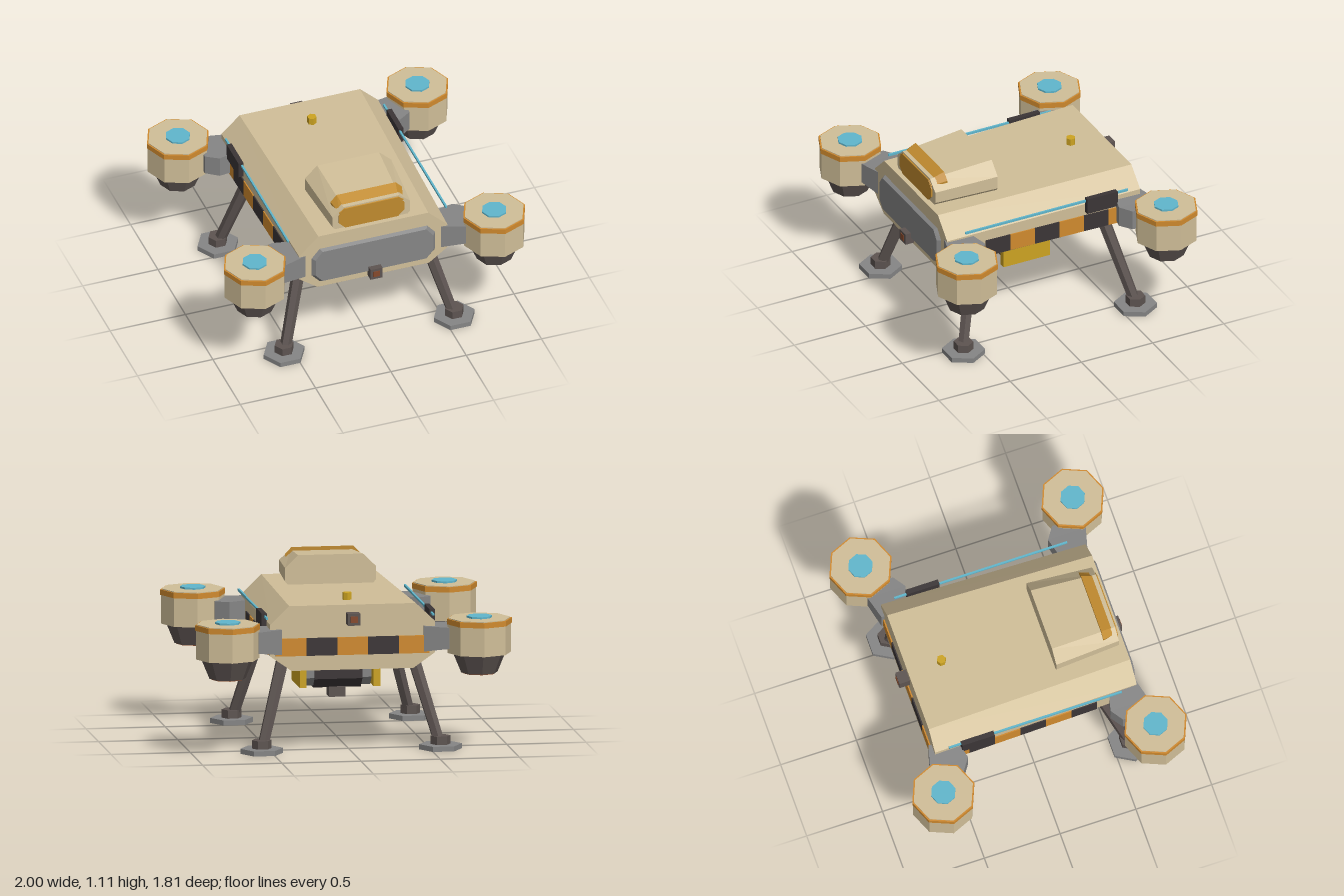
import * as THREE from 'three';

const paint = (name, color) => {
  const m = new THREE.MeshStandardMaterial({ color, flatShading: true });
  m.name = name;
  return m;
};

// Skin a list of [z, [[x, y], ...]] sections (back to front, corners anticlockwise) and cap both ends
function loft(sections) {
  const pos = [];
  const tri = (...pts) => pts.forEach((p) => pos.push(...p));
  const rings = sections.map(([z, pts]) => pts.map(([x, y]) => [x, y, z]));
  const n = rings[0].length;
  for (let s = 0; s < rings.length - 1; s++) {
    for (let i = 0; i < n; i++) {
      const j = (i + 1) % n, a = rings[s], b = rings[s + 1];
      tri(a[i], a[j], b[j]);
      tri(a[i], b[j], b[i]);
    }
  }
  const back = rings[0], front = rings[rings.length - 1];
  for (let i = 1; i < n - 1; i++) {
    tri(front[0], front[i], front[i + 1]);
    tri(back[0], back[i + 1], back[i]);
  }
  const g = new THREE.BufferGeometry();
  g.setAttribute('position', new THREE.Float32BufferAttribute(pos, 3));
  g.computeVertexNormals();
  return g;
}

// Symmetric eight-sided cross-section
const oct = (bottom, mid, top, y0, y1, y2, y3) => [
  [-bottom, y0], [bottom, y0], [mid, y1], [mid, y2],
  [top, y3], [-top, y3], [-mid, y2], [-mid, y1],
];
const rect = (w, y0, y1) => [[-w, y0], [w, y0], [w, y1], [-w, y1]];

export function createModel() {
  const model = new THREE.Group();
  model.name = 'hoverLander';

  const tan = paint('tanHull', 0xd0be98);
  const grey = paint('greyMetal', 0x858585);
  const dark = paint('darkMetal', 0x5d5451);
  const black = paint('blackPanel', 0x3b3536);
  const orange = paint('hazardOrange', 0xd08a2e);
  const gold = paint('goldFoil', 0xcca322);
  const amber = paint('amberGlass', 0xc08a2e);
  const cyan = paint('cyanGlow', 0x60b6cc);
  const copper = paint('copperLens', 0x86492c);

  const add = (name, geo, mat, x = 0, y = 0, z = 0, parent = model) => {
    const m = new THREE.Mesh(geo, mat);
    m.name = name;
    m.position.set(x, y, z);
    parent.add(m);
    return m;
  };
  const box = (w, h, d) => new THREE.BoxGeometry(w, h, d);
  const cyl = (top, bottom, h, sides) => new THREE.CylinderGeometry(top, bottom, h, sides);

  // Hull, slightly wider and taller at the back
  add('hull', loft([
    [-0.66, oct(0.385, 0.52, 0.40, 0.525, 0.62, 0.82, 0.935)],
    [0.68, oct(0.37, 0.492, 0.365, 0.53, 0.62, 0.797, 0.92)],
  ]), tan);
  const hullHalf = (z) => 0.492 + (0.68 - z) * 0.0209;

  // Bevelled nose plate
  add('nosePlate', loft([
    [0.675, oct(0.36, 0.415, 0.36, 0.57, 0.63, 0.76, 0.825)],
    [0.702, oct(0.345, 0.39, 0.345, 0.585, 0.637, 0.753, 0.81)],
  ]), grey);

  // Cabin, windscreen and brow
  add('cabin', loft([
    [0.22, oct(0.25, 0.287, 0.205, 0.90, 0.945, 1.03, 1.11)],
    [0.643, oct(0.225, 0.258, 0.185, 0.90, 0.94, 1.015, 1.077)],
  ]), tan);
  add('windscreen', loft([
    [0.642, oct(0.175, 0.217, 0.175, 0.922, 0.965, 1.02, 1.066)],
    [0.651, oct(0.175, 0.217, 0.175, 0.922, 0.965, 1.02, 1.066)],
  ]), amber);
  const brow = (w, t, y0, y1, y2) => [[-w, y0], [w, y0], [w, y1], [t, y2], [-t, y2], [-w, y1]];
  add('windscreenBrow', loft([
    [0.548, brow(0.237, 0.195, 1.05, 1.065, 1.108)],
    [0.648, brow(0.212, 0.178, 1.035, 1.04, 1.066)],
  ]), amber);

  // Roof beacon
  add('beacon', cyl(0.03, 0.03, 0.05, 6), gold, 0, 0.953, -0.44);

  // Sensors on the nose and the tail
  for (const [name, y, z, dir] of [['noseSensor', 0.58, 0.705, 1], ['tailSensor', 0.85, -0.695, -1]]) {
    add(name, box(0.08, 0.075, 0.07), dark, 0, y, z);
    add(name + 'Lens', box(0.045, 0.04, 0.006), copper, 0, y, z + dir * 0.036);
  }

  // Hazard stripes along the tail
  for (let i = 0; i < 5; i++) {
    add('tailStripe', box(0.194, 0.112, 0.009), i % 2 ? black : orange, (i - 2) * 0.194, 0.675, -0.664);
  }

  for (const side of [-1, 1]) {
    // Hazard stripes along each side, following the hull taper
    for (let i = 0; i < 6; i++) {
      const z = 0.33 - i * 0.17;
      const stripe = add('sideStripe', box(0.009, 0.112, 0.17), i % 2 ? orange : black,
        side * (hullHalf(z) + 0.003), 0.677, z);
      stripe.rotation.y = -side * 0.0209;
    }
    // Dark side panel and light strip
    add('sidePanel', box(0.033, 0.105, 0.215), black, side * 0.531, 0.812, -0.382);
    add('lightStrip', box(0.012, 0.014, 1.14), cyan, side * 0.525, 0.844, 0);
    // Belly plates
    add('bellyPlate', box(0.042, 0.2, 0.325), gold, side * 0.233, 0.433, 0);

    for (const end of [-1, 1]) {
      // Pod arm
      const arm = add('podArm', loft([
        [0.45, rect(0.085, 0.63, 0.79)],
        [0.60, rect(0.125, 0.648, 0.782)],
        [0.68, rect(0.07, 0.65, 0.78)],
      ]), grey, 0, 0, end * 0.595);
      arm.rotation.y = side * Math.PI / 2;

      // Lift pod
      const pod = new THREE.Group();
      pod.name = 'liftPod';
      pod.position.set(side * 0.795, 0, end * 0.7);
      model.add(pod);
      add('podBody', cyl(0.2, 0.2, 0.185, 8), tan, 0, 0.7125, 0, pod);
      add('podRing', cyl(0.205, 0.205, 0.034, 8), orange, 0, 0.819, 0, pod);
      add('podCap', cyl(0.195, 0.195, 0.01, 8), tan, 0, 0.836, 0, pod);
      add('podLight', cyl(0.08, 0.08, 0.014, 8), cyan, 0, 0.846, 0, pod);
      add('podNozzle', cyl(0.168, 0.115, 0.128, 8), dark, 0, 0.56, 0, pod);
      add('nozzleGlow', cyl(0.106, 0.106, 0.006, 8), copper, 0, 0.494, 0, pod);

      // Landing leg with ankle and foot
      const hip = new THREE.Vector3(side * 0.408, 0.58, end * 0.463);
      const ankle = new THREE.Vector3(side * 0.555, 0.05, end * 0.6);
      const leg = add('leg', cyl(0.042, 0.036, hip.distanceTo(ankle), 6), dark);
      leg.position.copy(hip).add(ankle).multiplyScalar(0.5);
      leg.quaternion.setFromUnitVectors(new THREE.Vector3(0, 1, 0), hip.clone().sub(ankle).normalize());
      add('ankle', cyl(0.062, 0.062, 0.055, 6), dark, side * 0.565, 0.057, end * 0.603).rotation.y = Math.PI / 6;
      add('foot', cyl(0.135, 0.135, 0.032, 6), grey, side * 0.565, 0.016, end * 0.603).rotation.y = Math.PI / 6;
    }
  }

  // Belly tank lying across the hull, with a small turret below
  const tank = (name, r, length, mat) => {
    const g = cyl(r, r, length, 8).rotateY(Math.PI / 8).rotateZ(Math.PI / 2);
    add(name, g, mat, 0, 0.42, 0);
  };
  tank('tank', 0.1, 0.42, grey);
  tank('tankBand', 0.114, 0.3, black);
  add('tankMount', box(0.2, 0.04, 0.12), dark, 0, 0.52, 0);
  add('turret', box(0.105, 0.065, 0.11), dark, 0, 0.287, 0);

  return model;
}
